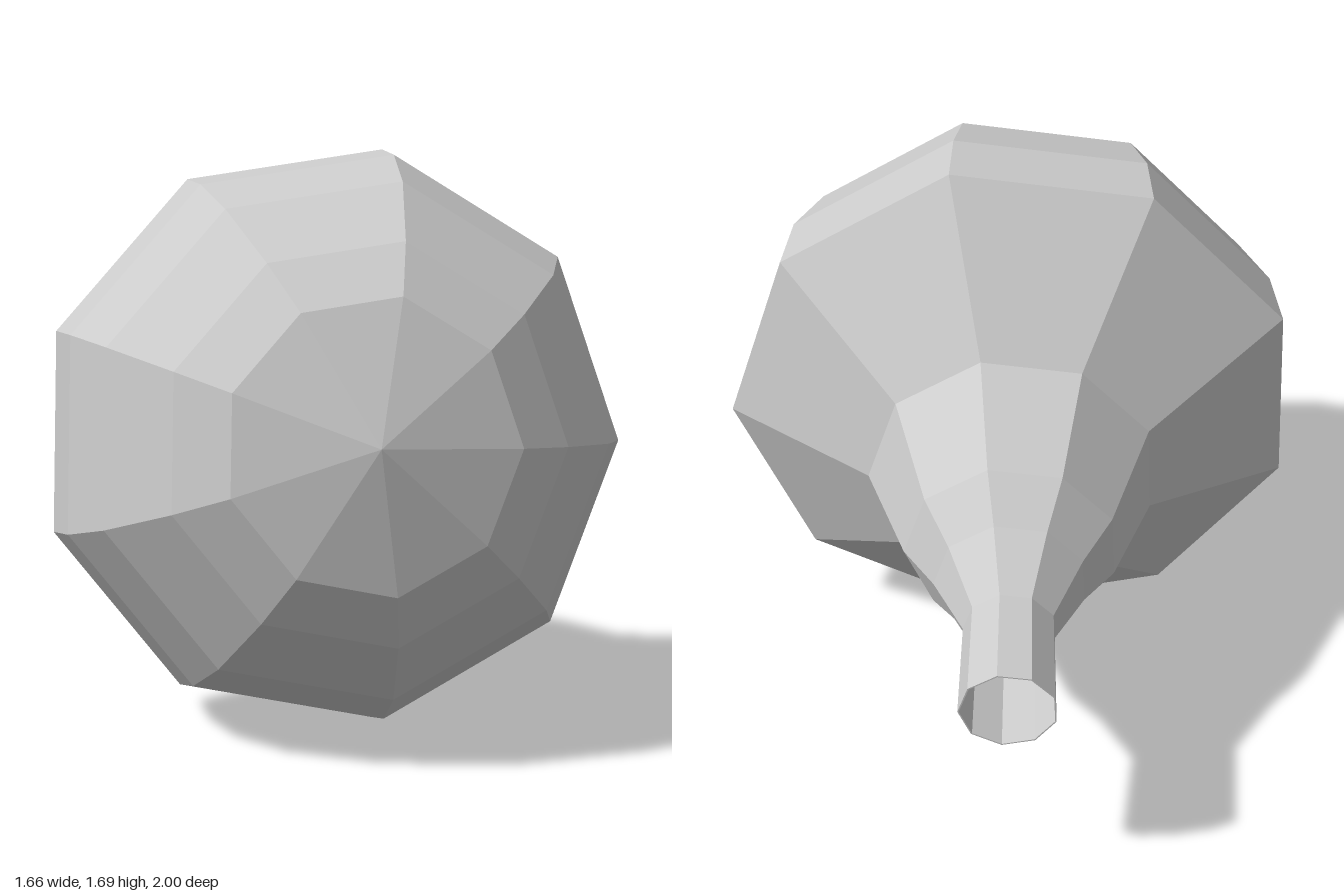
import * as THREE from 'three';

const SIDES = 9;

// Nine-sided faceted part turned around the shared axis; profile is [radius, distance along axis]
function turned(name, profile, material) {
  const points = profile.map(([r, t]) => new THREE.Vector2(r, t));
  const mesh = new THREE.Mesh(new THREE.LatheGeometry(points, SIDES), material);
  mesh.name = name;
  return mesh;
}

export function createModel() {
  const group = new THREE.Group();
  group.name = 'flaskBulb';
  const material = new THREE.MeshStandardMaterial({ color: 0xcccccc, flatShading: true });

  const bulb = new THREE.Group();
  bulb.name = 'tiltedBulb';

  // Rounded dome
  bulb.add(turned('dome', [
    [0, 0], [0.415, 0.104], [0.57, 0.22], [0.747, 0.435], [0.837, 0.655], [0.866, 0.867],
  ], material));

  // Shoulder tapering into the neck
  bulb.add(turned('shoulder', [
    [0.866, 0.867], [0.43, 1.19], [0.31, 1.52], [0.22, 1.656], [0.131, 1.838],
  ], material));

  // Tube with a thin rim, hollow down to a flat floor
  bulb.add(turned('neckTube', [
    [0.131, 1.838], [0.137, 2.15], [0.133, 2.15], [0.127, 1.84], [0, 1.84],
  ], material));

  // Lean the axis back, to the left and slightly down
  const axis = new THREE.Vector3(0.547, -0.123, -0.828).normalize();
  const edge = new THREE.Vector3(0.834, -0.036, 0.551);
  edge.addScaledVector(axis, -edge.dot(axis)).normalize();
  const side = new THREE.Vector3().crossVectors(axis, edge);
  bulb.quaternion.setFromRotationMatrix(new THREE.Matrix4().makeBasis(side, axis, edge));
  bulb.position.set(-0.46, 0.975, 0.855);

  group.add(bulb);
  return group;
}
